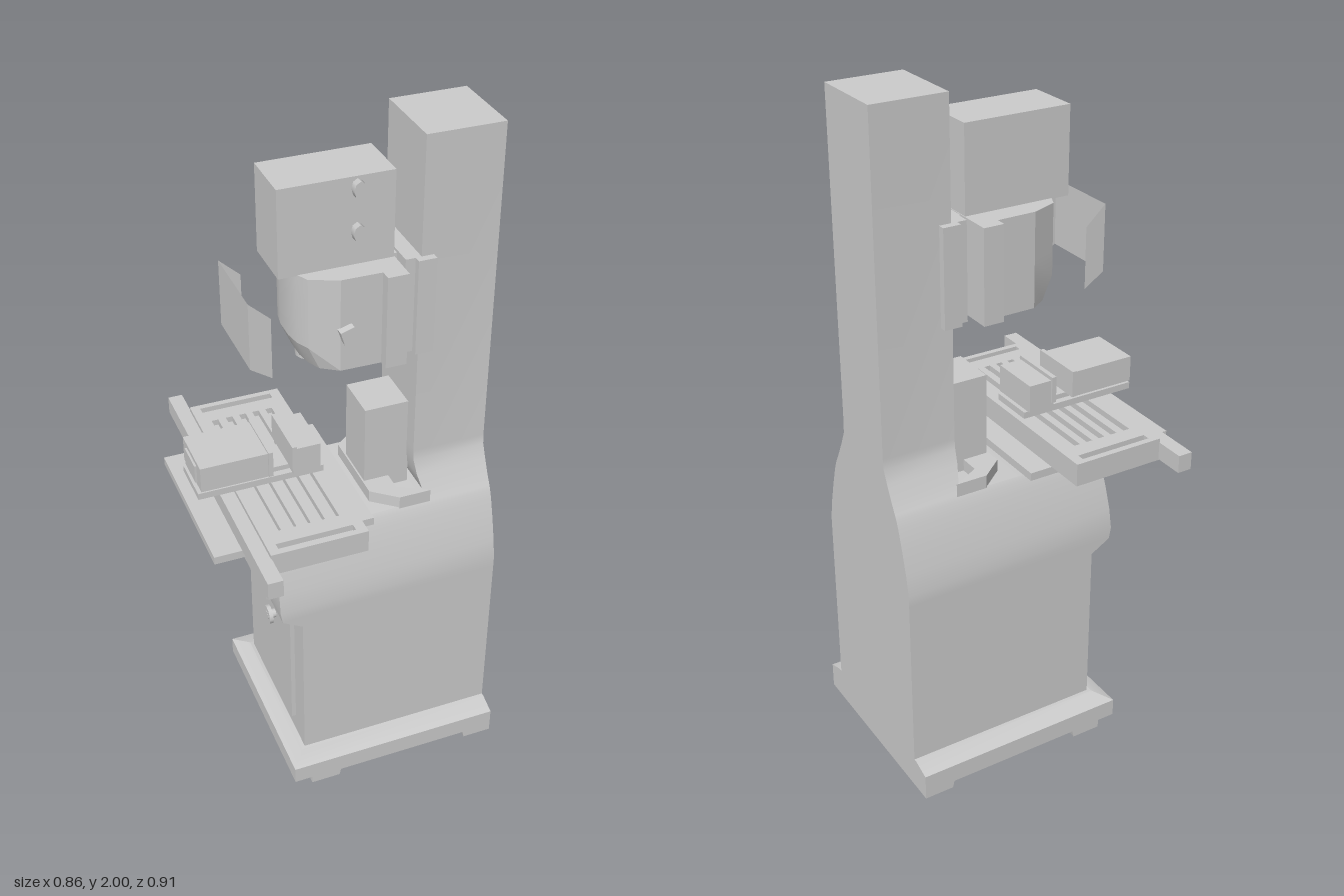
import * as THREE from 'three';
import { toCreasedNormals } from 'three/addons/utils/BufferGeometryUtils.js';

const mat = new THREE.MeshStandardMaterial({ color: 0xcccccc });
const sheetMat = new THREE.MeshStandardMaterial({ color: 0xcccccc, side: THREE.DoubleSide });

export function createModel() {
  const model = new THREE.Group();

  const add = (name, geo, parent = model, material = mat) => {
    const mesh = new THREE.Mesh(geo, material);
    mesh.name = name;
    parent.add(mesh);
    return mesh;
  };
  // box given by its limits on each axis
  const box = (name, x0, x1, y0, y1, z0, z1, parent) => {
    const m = add(name, new THREE.BoxGeometry(x1 - x0, y1 - y0, z1 - z0), parent);
    m.position.set((x0 + x1) / 2, (y0 + y1) / 2, (z0 + z1) / 2);
    return m;
  };
  const group = (name) => {
    const g = new THREE.Group();
    g.name = name;
    model.add(g);
    return g;
  };
  const shapeOf = (pts) => new THREE.Shape(pts.map(([a, b]) => new THREE.Vector2(a, b)));
  // plan outline (x, z) extruded downwards from yTop
  const plan = (shape, yTop, depth, steps = 1) =>
    new THREE.ExtrudeGeometry(shape, { depth, steps, bevelEnabled: false, curveSegments: 5 })
      .rotateX(Math.PI / 2).translate(0, yTop, 0);
  // stacked rectangles: [y, x0, x1, half width in z]
  const loft = (levels) => {
    const pos = [], idx = [];
    levels.forEach(([y, a, b, w]) => pos.push(a, y, w, b, y, w, b, y, -w, a, y, -w));
    for (let i = 0; i < levels.length - 1; i++) {
      for (let j = 0; j < 4; j++) {
        const p = i * 4 + j, q = i * 4 + (j + 1) % 4;
        idx.push(p, q, q + 4, p, q + 4, p + 4);
      }
    }
    const t = (levels.length - 1) * 4;
    idx.push(0, 2, 1, 0, 3, 2, t, t + 1, t + 2, t, t + 2, t + 3);
    const geo = new THREE.BufferGeometry();
    geo.setAttribute('position', new THREE.Float32BufferAttribute(pos, 3));
    geo.setIndex(idx);
    return toCreasedNormals(geo, 0.45);
  };

  // Base with two cross feet and a sloped rim
  const base = group('base');
  const foot = shapeOf([[-0.235, 0.025], [-0.18, 0.025], [-0.18, 0], [-0.09, 0], [-0.085, 0.022],
    [0.33, 0.022], [0.335, 0], [0.425, 0], [0.425, 0.08], [-0.235, 0.08]]);
  add('footPlate', new THREE.ExtrudeGeometry(foot, { depth: 0.61, bevelEnabled: false })
    .translate(0, 0, -0.305), base);
  add('baseRim', loft([[0.08, -0.235, 0.425, 0.305], [0.098, -0.19, 0.425, 0.25]]), base);

  // Cabinet blending into the tall column
  add('cabinetAndColumn', loft([
    [0.08, -0.18, 0.425, 0.24], [0.6, -0.18, 0.425, 0.24], [0.635, -0.24, 0.425, 0.24],
    [0.67, -0.246, 0.425, 0.24], [0.73, -0.245, 0.425, 0.229], [0.8, -0.241, 0.425, 0.211],
    [0.86, -0.236, 0.425, 0.193], [0.885, -0.222, 0.425, 0.183], [0.897, -0.195, 0.425, 0.177],
    [0.9, 0.235, 0.425, 0.175], [0.93, 0.218, 0.425, 0.158], [0.97, 0.209, 0.425, 0.138],
    [1.01, 0.205, 0.425, 0.12], [1.04, 0.205, 0.425, 0.117], [2, 0.205, 0.425, 0.117],
  ]));

  // Door with knob, and the panel above it
  const door = group('door');
  box('doorPanel', -0.193, -0.17, 0.16, 0.57, -0.165, 0.165, door);
  [[0.014, 0.04, -0.2], [0.03, 0.012, -0.213]].forEach(([r, h, x]) => {
    const k = add('doorKnob', new THREE.CylinderGeometry(r, r, h, 12), door);
    k.rotation.z = Math.PI / 2;
    k.position.set(x, 0.478, 0.03);
  });
  box('controlPanel', -0.254, -0.225, 0.645, 0.82, -0.14, 0.14);

  // Knee, saddle and rear support
  add('knee', loft([[0.893, -0.17, -0.06, 0.13], [0.916, -0.21, -0.03, 0.2]]));
  box('saddlePlate', -0.43, 0.035, 0.916, 0.94, -0.24, 0.24);
  add('wayCover', plan(shapeOf([[0.07, -0.12], [0.14, -0.178], [0.235, -0.178], [0.15, -0.13],
    [0.15, 0.13], [0.235, 0.178], [0.14, 0.178], [0.07, 0.12]]), 0.935, 0.04));
  box('rearBlock', 0.075, 0.21, 0.9, 1.18, -0.07, 0.07);

  // Work table with recessed slots and a long front rail
  const table = group('workTable');
  box('tableBottom', -0.31, -0.033, 0.94, 0.99, -0.363, 0.363, table);
  const top = shapeOf([[-0.31, -0.363], [-0.033, -0.363], [-0.033, 0.363], [-0.31, 0.363]]);
  const slot = (x0, x1, z0, z1) => top.holes.push(new THREE.Path(
    [[x0, z0], [x0, z1], [x1, z1], [x1, z0]].map(([a, b]) => new THREE.Vector2(a, b))));
  [-0.26, -0.216, -0.175, -0.134, -0.093].forEach((x) => slot(x - 0.01, x + 0.01, -0.273, 0.273));
  [-0.334, 0.334].forEach((z) => slot(-0.283, -0.063, z - 0.011, z + 0.011));
  add('slottedTop', plan(top, 1.008, 0.018), table);
  box('frontRail', -0.351, -0.308, 0.943, 0.996, -0.453, 0.453, table);

  // Vise
  const vise = group('vise');
  box('viseBase', -0.417, -0.05, 1.008, 1.028, -0.07, 0.07, vise);
  box('viseWays', -0.39, -0.07, 1.028, 1.043, -0.05, 0.05, vise);
  box('movingJaw', -0.41, -0.205, 1.04, 1.118, -0.08, 0.08, vise);
  box('movingJawPlate', -0.216, -0.203, 1.043, 1.123, -0.086, 0.086, vise);
  box('fixedJaw', -0.143, -0.062, 1.028, 1.112, -0.08, 0.08, vise);
  box('fixedJawPlate', -0.147, -0.133, 1.043, 1.123, -0.086, 0.086, vise);
  box('screwCover', -0.416, -0.405, 1.05, 1.105, -0.045, 0.045, vise);

  // Upper head with two oval buttons
  const head = group('head');
  box('motorHousing', -0.175, 0.143, 1.655, 1.903, -0.081, 0.081, head);
  [1.872, 1.752].forEach((y) => {
    const b = add('button', new THREE.CylinderGeometry(0.017, 0.017, 0.025, 8), head);
    b.rotation.x = Math.PI / 2;
    b.scale.z = 1.45;
    b.position.set(0.039, y, 0.09);
  });

  // Lower head: faceted plan with the nose undercut at the bottom
  const half = [[0.145, 0.178], [0.085, 0.178], [0.085, 0.147], [-0.03, 0.145], [-0.107, 0.113],
    [-0.125, 0.075], [-0.133, 0.03]];
  const outline = [...half, ...half.map(([x, z]) => [x, -z]).reverse()];
  const lower = plan(shapeOf(outline), 1.657, 0.272, 4);
  const p = lower.attributes.position;
  for (let i = 0; i < p.count; i++) {
    if (p.getY(i) < 1.4 && p.getX(i) < -0.1) p.setX(i, p.getX(i) + 0.03);
  }
  add('spindleHead', toCreasedNormals(lower, 0.3), head);
  add('spindleNose', new THREE.CylinderGeometry(0.037, 0.037, 0.03, 20), head)
    .position.set(-0.065, 1.38, 0);
  const diamond = add('sideKnob', new THREE.BoxGeometry(0.04, 0.04, 0.03), head);
  diamond.position.set(-0.013, 1.5, 0.152);
  diamond.rotation.z = 0.3;

  // Slide that carries the head on the column
  box('slideNeck', 0.14, 0.165, 1.39, 1.655, -0.062, 0.062, head);
  add('columnSlide', plan(shapeOf([[0.16, -0.118], [0.188, -0.118], [0.188, -0.138], [0.24, -0.138],
    [0.24, 0.138], [0.188, 0.138], [0.188, 0.118], [0.16, 0.118]]), 1.663, 0.283), head);

  // Thin folded guard in front of the spindle, sloping at its wings
  const section = [[-0.21, -0.12, 1.57, 1.39], [-0.27, -0.12, 1.625, 1.43],
    [-0.27, 0.12, 1.625, 1.43], [-0.21, 0.12, 1.57, 1.39]];
  const verts = [];
  for (let i = 0; i < 3; i++) {
    const [ax, az, at, ab] = section[i], [bx, bz, bt, bb] = section[i + 1];
    verts.push(ax, ab, az, bx, bb, bz, bx, bt, bz, ax, ab, az, bx, bt, bz, ax, at, az);
  }
  const guard = new THREE.BufferGeometry();
  guard.setAttribute('position', new THREE.Float32BufferAttribute(verts, 3));
  guard.computeVertexNormals();
  add('splashGuard', guard, model, sheetMat);

  return model;
}
